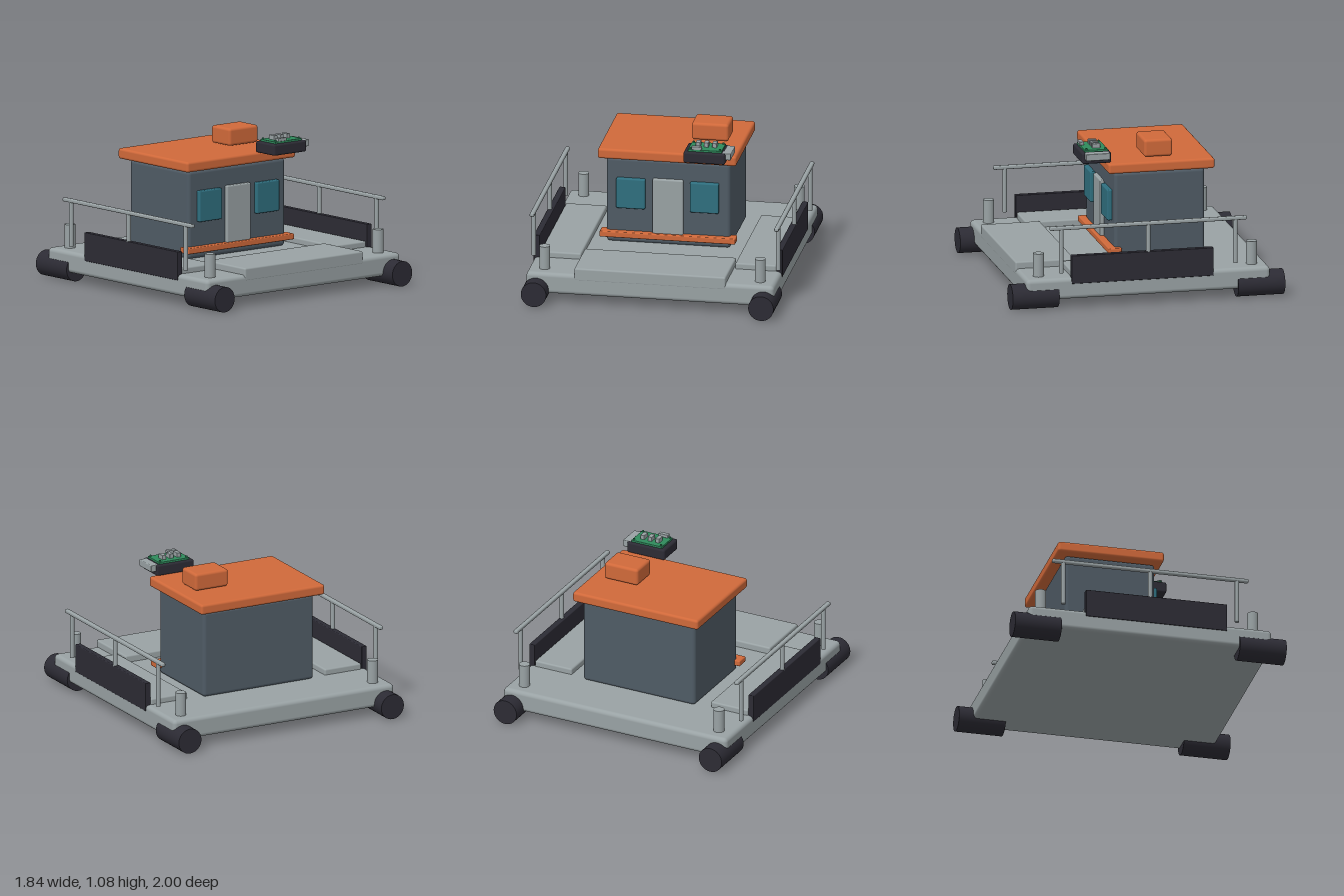
import * as THREE from 'three';
import { RoundedBoxGeometry } from 'three/addons/geometries/RoundedBoxGeometry.js';

const paint = (name, color) => {
  const m = new THREE.MeshStandardMaterial({ color });
  m.name = name;
  return m;
};

export function createModel() {
  const grey = paint('deck grey', 0x99a2a4);
  const orange = paint('roof orange', 0xd0693a);
  const slate = paint('cabin slate', 0x4f5b65);
  const black = paint('rubber black', 0x2c2b34);
  const teal = paint('window teal', 0x2f6f7f);
  const green = paint('board green', 0x2f8a5c);

  const root = new THREE.Group();
  root.name = 'workBarge';

  const group = (name) => {
    const g = new THREE.Group();
    g.name = name;
    root.add(g);
    return g;
  };

  // Rounded box given by its extents on each axis
  const box = (parent, name, mat, [x0, x1], [y0, y1], [z0, z1], r = 0.01) => {
    const geo = new RoundedBoxGeometry(x1 - x0, y1 - y0, z1 - z0, 3, r);
    const mesh = new THREE.Mesh(geo, mat);
    mesh.name = name;
    mesh.position.set((x0 + x1) / 2, (y0 + y1) / 2, (z0 + z1) / 2);
    parent.add(mesh);
    return mesh;
  };

  // Cylinder standing upright, or lying along z
  const rod = (parent, name, mat, r, length, x, y, z, alongZ = false) => {
    const mesh = new THREE.Mesh(new THREE.CylinderGeometry(r, r, length, 32), mat);
    mesh.name = name;
    mesh.position.set(x, y, z);
    if (alongZ) mesh.rotation.x = Math.PI / 2;
    parent.add(mesh);
    return mesh;
  };

  // Hull and raised deck panels
  const hull = group('hull');
  box(hull, 'deck', grey, [-0.9, 0.9], [0.07, 0.225], [-0.895, 0.895], 0.03);
  box(hull, 'frontPlatform', grey, [-0.55, 0.55], [0.18, 0.275], [0.46, 0.896], 0.012);

  // Mirrored side equipment
  for (const s of [-1, 1]) {
    const side = group(s > 0 ? 'leftSide' : 'rightSide');
    const span = (a, b) => (s > 0 ? [a, b] : [-b, -a]);
    box(side, 'sidePanel', grey, span(0.56, 0.857), [0.205, 0.268], [-0.48, 0.56], 0.012);
    box(side, 'sideFender', black, span(0.86, 0.904), [0.182, 0.39], [-0.477, 0.565], 0.006);
    box(side, 'handrail', grey, span(0.872, 0.905), [0.582, 0.61], [-0.722, 0.724], 0.01);
    for (const z of [-0.64, 0, 0.64]) {
      rod(side, 'railPost', grey, 0.016, 0.325, s * 0.888, 0.428, z);
    }
    for (const e of [-1, 1]) {
      rod(side, 'bollard', grey, 0.039, 0.175, s * 0.783, 0.307, e * 0.782);
      rod(side, 'cornerFender', black, 0.092, 0.343, s * 0.826, 0.093, e * 0.8285, true);
    }
  }

  // Cabin with door, windows, sill and roof
  const cabin = group('cabin');
  box(cabin, 'cabinWalls', slate, [-0.45, 0.45], [0.225, 0.862], [-0.517, 0.145], 0.025);
  box(cabin, 'frontSill', orange, [-0.493, 0.493], [0.272, 0.315], [0.1, 0.195], 0.008);
  box(cabin, 'door', grey, [-0.112, 0.11], [0.31, 0.725], [0.13, 0.172], 0.01);
  box(cabin, 'rightWindow', teal, [-0.375, -0.165], [0.492, 0.718], [0.14, 0.18], 0.01);
  box(cabin, 'leftWindow', teal, [0.16, 0.37], [0.492, 0.718], [0.14, 0.18], 0.01);
  box(cabin, 'roof', orange, [-0.506, 0.502], [0.867, 0.943], [-0.58, 0.2], 0.018);
  box(cabin, 'roofHatch', orange, [0.125, 0.394], [0.95, 1.077], [-0.295, -0.087], 0.02);

  // Control unit at the front roof edge
  const unit = group('controlUnit');
  box(unit, 'unitTray', black, [0.15, 0.453], [0.94, 1.022], [0.17, 0.382], 0.014);
  box(unit, 'circuitBoard', green, [0.18, 0.425], [1.02, 1.036], [0.188, 0.358], 0.002);
  box(unit, 'sideConnector', grey, [0.424, 0.492], [0.972, 1.022], [0.185, 0.362], 0.006);
  box(unit, 'frontConnector', grey, [0.205, 0.28], [1.036, 1.06], [0.33, 0.362], 0.003);
  for (const x of [0.24, 0.3, 0.36]) {
    box(unit, 'chip', grey, [x - 0.016, x + 0.016], [1.034, 1.068], [0.232, 0.29], 0.003);
  }
  for (const x of [0.195, 0.41]) {
    for (const z of [0.203, 0.343]) rod(unit, 'boardPin', green, 0.007, 0.02, x, 1.036, z);
  }

  return root;
}
